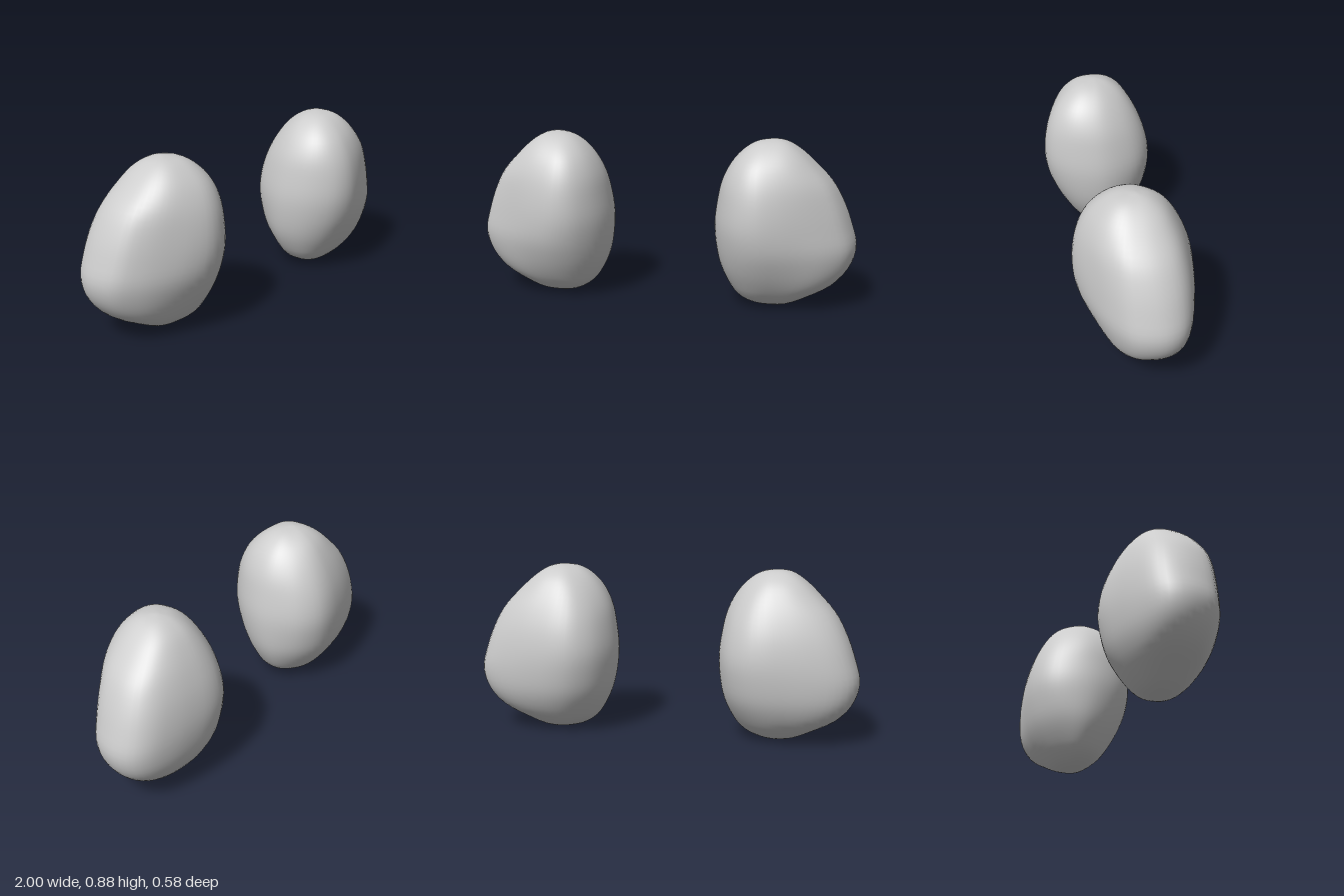
import * as THREE from 'three';

// Level sections, bottom to top: [y, inner x, outer x, back z, front z]
const LEVELS = [
  [0.003, 0.58, 0.58, -0.025, -0.025],
  [0.018, 0.475, 0.67, -0.10, 0.055],
  [0.062, 0.395, 0.77, -0.162, 0.12],
  [0.131, 0.343, 0.895, -0.22, 0.175],
  [0.222, 0.302, 0.972, -0.265, 0.228],
  [0.328, 0.281, 1.0, -0.287, 0.272],
  [0.44, 0.275, 0.974, -0.293, 0.293],
  [0.555, 0.289, 0.932, -0.277, 0.29],
  [0.661, 0.313, 0.874, -0.242, 0.268],
  [0.752, 0.358, 0.79, -0.195, 0.225],
  [0.821, 0.418, 0.715, -0.14, 0.162],
  [0.865, 0.488, 0.645, -0.07, 0.09],
  [0.88, 0.575, 0.575, 0, 0],
];

// Plan outline of the widest section: blunt inside, narrow outside
const OUTLINE = [
  [0.275, 0], [0.30, -0.12], [0.36, -0.22], [0.45, -0.28], [0.54, -0.293],
  [0.66, -0.28], [0.80, -0.25], [0.91, -0.21], [0.97, -0.16], [1.0, -0.08],
  [0.99, 0.015], [0.955, 0.09], [0.88, 0.15], [0.76, 0.215], [0.63, 0.268],
  [0.53, 0.288], [0.44, 0.268], [0.365, 0.21], [0.305, 0.12],
];

const AROUND = 56;
const RINGS = 40;

// Smooth interpolation of one column of the level table
function levelValue(column, t) {
  const f = t * (LEVELS.length - 1);
  const k = Math.min(Math.floor(f), LEVELS.length - 2);
  const at = (i) => LEVELS[THREE.MathUtils.clamp(i, 0, LEVELS.length - 1)][column];
  const s = f - k;
  const [a, b, c, d] = [at(k - 1), at(k), at(k + 1), at(k + 2)];
  return b + 0.5 * s * (c - a + s * (2 * a - 5 * b + 4 * c - d + s * (3 * (b - c) + d - a)));
}

// Oval of the end sections: full corners, except a cut one at the inner back
function endOval(angle) {
  const cos = Math.cos(angle);
  const sin = Math.sin(angle);
  const corner = Math.sin(2 * angle) ** 2;
  const r = 1 + corner * (cos < 0 && sin < 0 ? -0.1 : 0.09);
  return [r * cos, r * sin];
}

function pebbleGeometry(side) {
  // outline scaled to -1..1 in both directions
  const curve = new THREE.CatmullRomCurve3(
    OUTLINE.map(([x, z]) => new THREE.Vector3((x - 0.6375) / 0.3625, 0, z / 0.292)), true);
  const outline = curve.getSpacedPoints(AROUND).slice(0, AROUND);

  const positions = [];
  const index = [];
  const face = (a, b, c) => (side > 0 ? index.push(a, c, b) : index.push(a, b, c));
  const pole = (l) => positions.push(side * l[1], l[0], l[3]);

  pole(LEVELS[0]);
  for (let j = 1; j < RINGS; j++) {
    const t = j / RINGS;
    const [y, x0, x1, z0, z1] = [0, 1, 2, 3, 4].map((c) => levelValue(c, t));
    // sections turn from oval at the ends to the full outline in the middle
    const weight = Math.pow(Math.sin(Math.PI * t), 1.8);
    for (const p of outline) {
      const [ou, ov] = endOval(Math.atan2(p.z, p.x));
      const u = THREE.MathUtils.lerp(ou, p.x, weight);
      const v = THREE.MathUtils.lerp(ov, p.z, weight);
      positions.push(
        side * ((x0 + x1) / 2 + u * (x1 - x0) / 2), y,
        (z0 + z1) / 2 + v * (z1 - z0) / 2);
    }
  }
  pole(LEVELS[LEVELS.length - 1]);

  const last = positions.length / 3 - 1;
  for (let i = 0; i < AROUND; i++) {
    const n = (i + 1) % AROUND;
    face(0, 1 + n, 1 + i);
    for (let j = 0; j < RINGS - 2; j++) {
      const a = 1 + j * AROUND;
      const b = a + AROUND;
      face(a + i, a + n, b + i);
      face(a + n, b + n, b + i);
    }
    const top = 1 + (RINGS - 2) * AROUND;
    face(top + i, top + n, last);
  }

  const geometry = new THREE.BufferGeometry();
  geometry.setAttribute('position', new THREE.Float32BufferAttribute(positions, 3));
  geometry.setIndex(index);
  geometry.computeVertexNormals();
  return geometry;
}

export function createModel() {
  const group = new THREE.Group();
  const material = new THREE.MeshStandardMaterial({ color: 0xcccccc });
  // mirrored pair of rounded pebbles
  for (const side of [1, -1]) {
    const pebble = new THREE.Mesh(pebbleGeometry(side), material);
    pebble.name = side > 0 ? 'leftPebble' : 'rightPebble';
    group.add(pebble);
  }
  return group;
}
